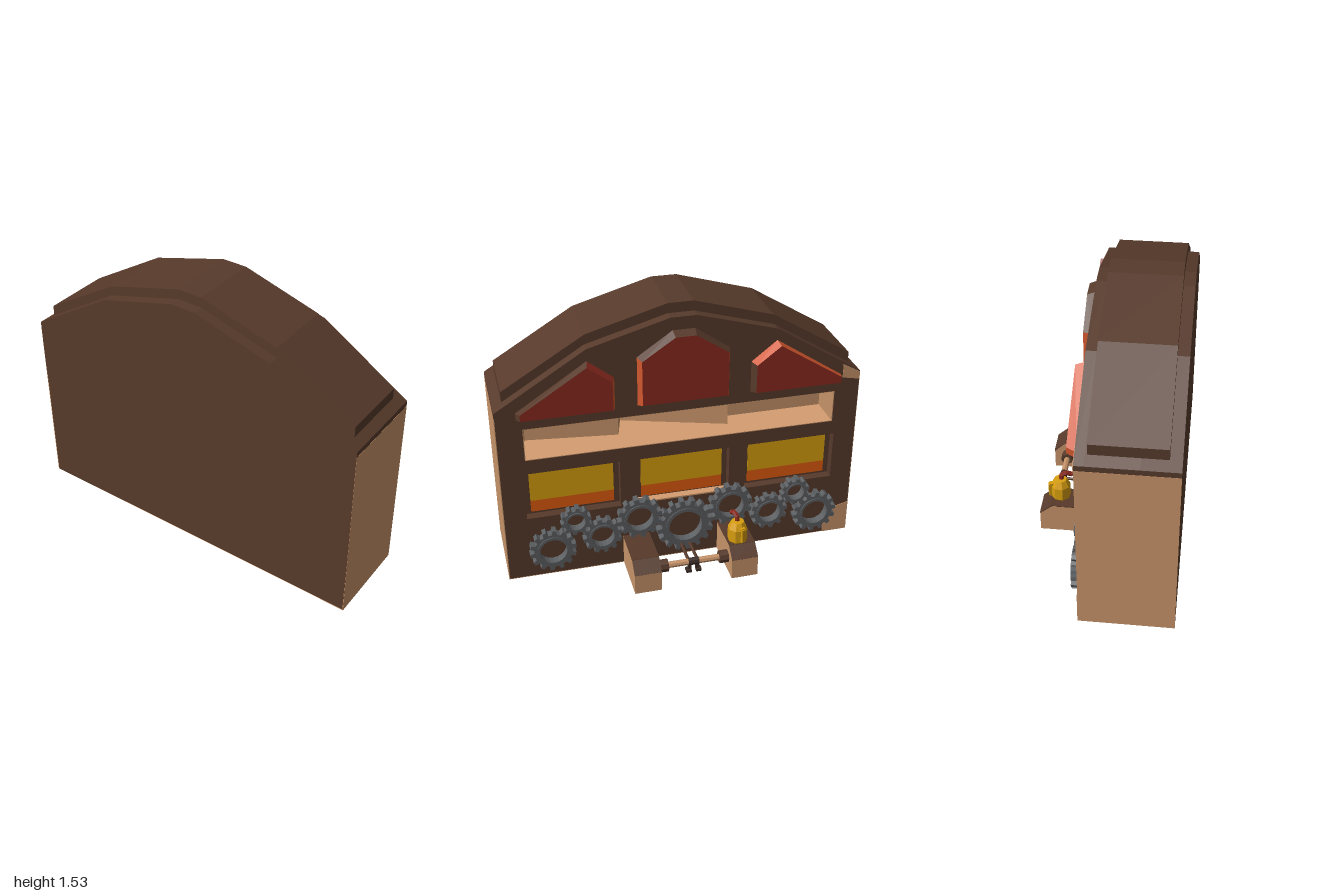
import * as THREE from 'three';

const mat = (name, color, side = THREE.FrontSide) => {
  const m = new THREE.MeshStandardMaterial({ color, side });
  m.name = name;
  return m;
};

export function createModel() {
  const root = new THREE.Group();
  const brown = mat('dark brown wood', 0x573a2b);
  const tan = mat('tan wood', 0xc79369, THREE.DoubleSide);
  const lightTan = mat('light tan wood', 0xd49d70);
  const red = mat('deep red', 0x8b2a1f);
  const orange = mat('burnt orange', 0xd0562d);
  const yellow = mat('amber yellow', 0xd99f0f);
  const amber = mat('window orange', 0xe05b0e);
  const grey = mat('gear grey', 0x5c5f62);
  const dark = mat('dark iron', 0x3a2c26);

  const add = (name, geo, material, x = 0, y = 0, z = 0, parent = root) => {
    const m = new THREE.Mesh(geo, material);
    m.name = name;
    m.position.set(x, y, z);
    parent.add(m);
    return m;
  };
  const box = (name, w, h, d, material, x, y, z, parent) =>
    add(name, new THREE.BoxGeometry(w, h, d), material, x, y, z, parent);
  const flat = (g) => {
    const n = g.toNonIndexed();
    n.computeVertexNormals();
    return n;
  };
  const shapeOf = (pts) => new THREE.Shape(pts.map(p => new THREE.Vector2(p[0], p[1])));
  const rect = (x0, x1, y0, y1) => new THREE.Path(
    [[x0, y0], [x0, y1], [x1, y1], [x1, y0]].map(p => new THREE.Vector2(p[0], p[1])));
  const slab = (name, shape, z0, z1, material) => add(name,
    new THREE.ExtrudeGeometry(shape, { depth: z1 - z0, bevelEnabled: false }), material, 0, 0, z0);

  // Arched body in three layers: windows, display niche, solid front
  const body = [[-1, 0.002], [1, 0.002], [1, 1.05], [0.51, 1.355], [0.07, 1.48],
    [-0.07, 1.48], [-0.51, 1.355], [-1, 1.05]];
  const windows = [[0.355, 0.875], [-0.262, 0.262], [-0.875, -0.355]];
  const NY0 = 0.75, NY1 = 0.94, NX = 0.86, WY0 = 0.385, WY1 = 0.668;
  const layers = [[-0.1, -0.05, true, true], [-0.05, 0.21, false, true], [0.21, 0.4, false, false]];
  for (const [z0, z1, hasWindows, hasNiche] of layers) {
    const s = shapeOf(body);
    if (hasNiche) s.holes.push(rect(-NX, NX, NY0, NY1));
    if (hasWindows) windows.forEach(w => s.holes.push(rect(w[0], w[1], WY0, WY1)));
    slab('bodyLayer', s, z0, z1, brown);
  }
  for (const s of [-1, 1]) box('sidePanel', 0.004, 1.02, 0.5, tan, s * 0.999, 0.51, 0.15);
  box('underside', 2, 0.004, 0.5, tan, 0, 0.002, 0.15);

  // Raised roof cap
  slab('roofCap', shapeOf([[-0.95, 1.08], [0.95, 1.08], [0.95, 1.14], [0.505, 1.41],
    [0.07, 1.535], [-0.07, 1.535], [-0.505, 1.41], [-0.95, 1.14]]), -0.04, 0.34, brown);

  // Bare wood patches on one edge of the back wall
  slab('lowerPatch', shapeOf([[-1, 0], [-0.85, 0], [-0.85, 0.15], [-1, 0.19]]), -0.103, -0.099, tan);
  slab('upperPatch', shapeOf([[-1, 1.0], [-0.9, 1.02], [-0.9, 1.1], [-1, 1.045]]), -0.103, -0.099, tan);

  // Niche lining with a stepped, slanting rear wall
  box('nicheFloor', NX * 2, 0.004, 0.3, lightTan, 0, NY0 + 0.002, 0.052);
  box('nicheCeiling', NX * 2, 0.004, 0.3, tan, 0, NY1 - 0.002, 0.052);
  for (const s of [-1, 1]) box('nicheEnd', 0.004, NY1 - NY0, 0.3, tan, s * (NX - 0.002), (NY0 + NY1) / 2, 0.052);
  const plan = [[0.86, 0.03], [0.835, 0.11], [0.33, 0.045], [0.29, 0.2], [-0.28, 0.01], [-0.28, 0.1], [-0.86, 0.1]];
  const wall = [];
  for (let i = 0; i < plan.length - 1; i++) {
    const [a, b] = [plan[i], plan[i + 1]];
    const q = [[a[0], NY0, a[1]], [b[0], NY0, b[1]], [b[0], NY1, b[1]], [a[0], NY1, a[1]]];
    for (const k of [0, 1, 2, 0, 2, 3]) wall.push(...q[k]);
  }
  const wallGeo = new THREE.BufferGeometry();
  wallGeo.setAttribute('position', new THREE.Float32BufferAttribute(wall, 3));
  wallGeo.computeVertexNormals();
  add('nicheWall', wallGeo, tan);

  // Two-tone glass set inside a margin at the back of each shallow recess
  const split = 0.468, GY0 = 0.398, GY1 = 0.642;
  windows.forEach(([x0, x1], i) => {
    const cx = (x0 + x1) / 2, w = x1 - x0 - 0.06;
    box('windowUpper', w, GY1 - split, 0.006, yellow, cx, (GY1 + split) / 2, -0.051);
    box('windowLower', w, split - GY0, 0.006, amber, cx, (GY0 + split) / 2, -0.051);
    if (i === 1) box('windowSill', x1 - x0, 0.008, 0.046, lightTan, cx, WY0 + 0.004, -0.076);
  });

  // Bevelled panels under the arch: counter-clockwise outline, one colour per edge
  const panel = (name, pts, edgeMats) => {
    const cx = (Math.min(...pts.map(p => p[0])) + Math.max(...pts.map(p => p[0]))) / 2;
    const cy = (Math.min(...pts.map(p => p[1])) + Math.max(...pts.map(p => p[1]))) / 2;
    const base = pts.map(p => [p[0], p[1], -0.099]);
    const top = pts.map(p => [cx + (p[0] - cx) * 0.93, cy + (p[1] - cy) * 0.9, -0.15]);
    const pos = [], geo = new THREE.BufferGeometry(), n = pts.length;
    for (let i = 0; i < n; i++) {
      const j = (i + 1) % n;
      pos.push(...top[i], ...top[j], ...base[j], ...top[i], ...base[j], ...base[i]);
      geo.addGroup(i * 6, 6, i);
    }
    for (let i = 1; i < n - 1; i++) pos.push(...top[0], ...top[i + 1], ...top[i]);
    geo.addGroup(n * 6, (n - 2) * 3, n);
    geo.setAttribute('position', new THREE.Float32BufferAttribute(pos, 3));
    geo.computeVertexNormals();
    add(name, geo, [...edgeMats, red]);
  };
  const sidePts = [[0.37, 1.0], [0.89, 1.0], [0.89, 1.04], [0.51, 1.29], [0.37, 1.18]];
  panel('leftPanel', sidePts, [brown, brown, brown, red, orange]);
  panel('rightPanel', sidePts.map(p => [-p[0], p[1]]).reverse(), [orange, orange, orange, orange, brown]);
  panel('middlePanel', [[-0.25, 1], [0.25, 1], [0.25, 1.28], [0.06, 1.41], [-0.06, 1.41], [-0.25, 1.28]],
    [orange, orange, brown, brown, brown, orange]);

  // Row of gears along the back wall: x, y, outer radius, teeth
  const gears = [[0.75, 0.183, 0.13, 14], [0.615, 0.352, 0.085, 10], [0.472, 0.233, 0.11, 12],
    [0.26, 0.313, 0.127, 12], [0, 0.222, 0.165, 16], [-0.265, 0.313, 0.127, 12],
    [-0.495, 0.23, 0.11, 12], [-0.65, 0.34, 0.085, 10], [-0.775, 0.183, 0.13, 14]];
  for (const [x, y, r, teeth] of gears) {
    const pts = [];
    for (let i = 0; i < teeth; i++) {
      for (const [f, k] of [[0, 0.82], [0.42, 0.82], [0.52, 1], [0.9, 1]]) {
        const a = (i + f) / teeth * Math.PI * 2;
        pts.push([Math.cos(a) * r * k, Math.sin(a) * r * k]);
      }
    }
    const ring = (outer, inner, z0, depth) => {
      const s = shapeOf(outer);
      s.holes.push(new THREE.Path().absarc(0, 0, inner, 0, Math.PI * 2, true));
      add('gear', new THREE.ExtrudeGeometry(s, { depth, bevelEnabled: false, curveSegments: 10 }), grey, x, y, z0);
    };
    ring(pts, r * 0.6, -0.148, 0.05);
    const rim = Array.from({ length: 20 }, (_, i) =>
      [Math.cos(i * Math.PI / 10) * r * 0.7, Math.sin(i * Math.PI / 10) * r * 0.7]);
    ring(rim, r * 0.58, -0.154, 0.02);
  }

  // Two chamfered benches with dark tops
  for (const s of [-1, 1]) {
    const side = shapeOf([[0.09, 0], [0.4, 0], [0.4, 0.12], [0.335, 0.178], [0.09, 0.178]]);
    const g = new THREE.ExtrudeGeometry(side, { depth: 0.15, bevelEnabled: false });
    g.rotateY(Math.PI / 2);
    add('bench', g, tan, s * 0.275 - 0.075, 0, 0);
    box('benchTop', 0.15, 0.006, 0.236, brown, s * 0.275, 0.178, -0.218);
    const lip = box('benchSlope', 0.15, 0.006, 0.087, brown, s * 0.275, 0.149, -0.3675);
    lip.rotation.x = -Math.atan2(0.058, 0.065);
    // Axle collars on the inner faces
    const collar = flat(new THREE.CylinderGeometry(0.036, 0.036, 0.05, 8).rotateZ(Math.PI / 2));
    add('axleCollar', collar, brown, s * 0.172, 0.1, -0.32);
  }

  // Axle, its struts and the hanging clamp
  add('axle', flat(new THREE.CylinderGeometry(0.018, 0.018, 0.4, 8).rotateZ(Math.PI / 2)), tan, 0, 0.1, -0.32);
  for (const s of [-1, 1]) {
    const strut = flat(new THREE.CylinderGeometry(0.009, 0.009, 0.17, 6).rotateX(Math.PI / 2));
    add('strut', strut, brown, s * 0.025, 0.1, -0.235);
    box('clampJaw', 0.018, 0.06, 0.018, dark, s * 0.022, 0.075, -0.318);
    box('pedal', 0.03, 0.016, 0.036, dark, s * 0.028, 0.045, -0.32);
  }
  add('clampHub', flat(new THREE.CylinderGeometry(0.021, 0.021, 0.06, 8).rotateZ(Math.PI / 2)), dark, 0, 0.1, -0.32);

  // Fuel can with handle and bent spout
  const can = new THREE.Group();
  can.name = 'fuelCan';
  can.position.set(-0.26, 0.181, -0.292);
  can.rotation.y = 0.3;
  root.add(can);
  const profile = [[0, 0], [0.048, 0], [0.055, 0.01], [0.055, 0.085], [0.036, 0.125], [0, 0.128]];
  add('canBody', flat(new THREE.LatheGeometry(profile.map(p => new THREE.Vector2(p[0], p[1])), 8)), yellow, 0, 0, 0, can);
  box('canHandle', 0.026, 0.08, 0.016, yellow, 0, 0.06, -0.06, can);
  for (const y of [0.027, 0.097]) box('canHandleArm', 0.026, 0.016, 0.03, yellow, 0, y, -0.046, can);
  const bend = new THREE.CatmullRomCurve3([[0, 0.12, 0.005], [0, 0.15, 0.008], [0, 0.162, 0.03], [0, 0.15, 0.06]]
    .map(p => new THREE.Vector3(...p)));
  add('canSpout', flat(new THREE.TubeGeometry(bend, 6, 0.014, 6)), red, 0, 0, 0, can);
  add('spoutTip', new THREE.SphereGeometry(0.0145, 6, 4), red, 0, 0.15, 0.06, can);

  return root;
}
